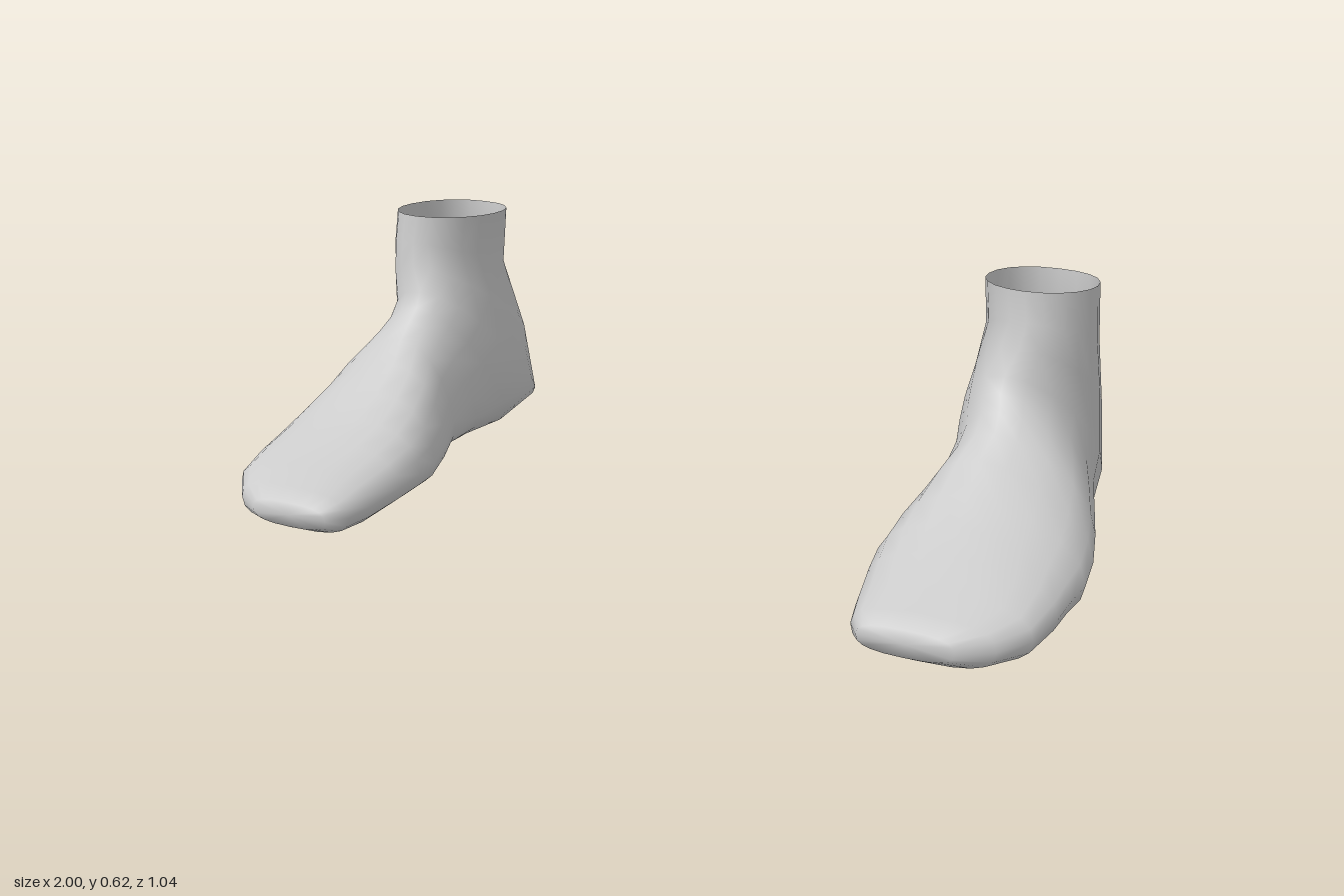
import * as THREE from 'three';

// Cross-sections from the toe, fanning round the heel, up to the ankle opening:
// [topZ, topY, bottomZ, bottomY, innerX, outerX, height of widest point 0..1, top roundness, ridge shift]
const SECTIONS = [
  [0.52, 0.11, 0.52, 0.05, 0.63, 0.83, 0.5, 2.8, 0],
  [0.47, 0.127, 0.47, 0.022, 0.602, 0.90, 0.5, 2.6, 0],
  [0.40, 0.147, 0.40, 0.014, 0.588, 0.955, 0.48, 2.4, 0],
  [0.30, 0.177, 0.30, 0.02, 0.575, 0.98, 0.42, 2.2, -0.02],
  [0.22, 0.207, 0.22, 0.023, 0.568, 0.99, 0.38, 2.0, -0.04],
  [0.14, 0.245, 0.15, 0.015, 0.575, 1.0, 0.34, 1.9, -0.05],
  [0.06, 0.295, 0.05, 0.023, 0.60, 0.995, 0.3, 1.8, -0.06],
  [0.0, 0.337, -0.04, 0.034, 0.625, 0.98, 0.32, 1.8, -0.05],
  [-0.04, 0.373, -0.18, 0.02, 0.628, 0.955, 0.38, 1.8, -0.04],
  [-0.065, 0.405, -0.34, 0.003, 0.618, 0.93, 0.42, 1.9, -0.03],
  [-0.085, 0.44, -0.52, 0.022, 0.612, 0.92, 0.44, 2.0, -0.02],
  [-0.10, 0.50, -0.52, 0.21, 0.63, 0.91, 0.48, 2.0, 0],
  [-0.115, 0.555, -0.447, 0.43, 0.655, 0.90, 0.5, 2.0, 0],
  [-0.12, 0.625, -0.455, 0.588, 0.645, 0.89, 0.5, 2.0, 0],
];
const SIDES = 20;

// One point on a section: a rounded loop, squarer below its widest point
function sectionPoint([tz, ty, bz, by, xin, xout, widest, roundness, shift], i) {
  const a = (i / SIDES) * Math.PI * 2;
  const c = Math.cos(a), s = Math.sin(a);
  const upper = c > 0;
  const bottomPower = by > 0.1 ? 2.2 : 2.7;
  const e = 2 / (upper ? roundness : bottomPower);
  const v = Math.sign(c) * Math.abs(c) ** e;
  const w = Math.sign(s) * Math.abs(s) ** e;
  const t = upper ? widest + v * (1 - widest) : widest * (1 + v);
  const x = (xin + xout) / 2 + (w * (xout - xin)) / 2 + (upper ? shift * v * v : 0);
  return [x, by + (ty - by) * t, bz + (tz - bz) * t];
}

function footGeometry() {
  const pos = [], index = [];
  for (const section of SECTIONS) {
    for (let i = 0; i < SIDES; i++) pos.push(...sectionPoint(section, i));
  }
  // Skin between neighbouring sections
  for (let r = 0; r < SECTIONS.length - 1; r++) {
    for (let i = 0; i < SIDES; i++) {
      const j = (i + 1) % SIDES;
      const a = r * SIDES + i, b = r * SIDES + j;
      const c = a + SIDES, d = b + SIDES;
      index.push(a, c, b, b, c, d);
    }
  }
  // Blunt toe end
  const centre = pos.length / 3;
  pos.push(0.73, 0.08, 0.522);
  for (let i = 0; i < SIDES; i++) index.push(centre, i, (i + 1) % SIDES);

  const g = new THREE.BufferGeometry();
  g.setAttribute('position', new THREE.Float32BufferAttribute(pos, 3));
  // Orient the faces outwards
  for (let k = 0; k < index.length; k += 3) {
    [index[k + 1], index[k + 2]] = [index[k + 2], index[k + 1]];
  }
  g.setIndex(index);
  g.computeVertexNormals();
  return g;
}

export function createModel() {
  const group = new THREE.Group();
  const grey = new THREE.MeshStandardMaterial({ color: 0xcccccc, side: THREE.DoubleSide });
  grey.name = 'light grey';
  const geometry = footGeometry();

  const left = new THREE.Mesh(geometry, grey);
  left.name = 'leftFoot';

  // The right foot mirrors the left
  const right = new THREE.Mesh(geometry, grey);
  right.name = 'rightFoot';
  right.scale.x = -1;

  group.add(left, right);
  return group;
}
